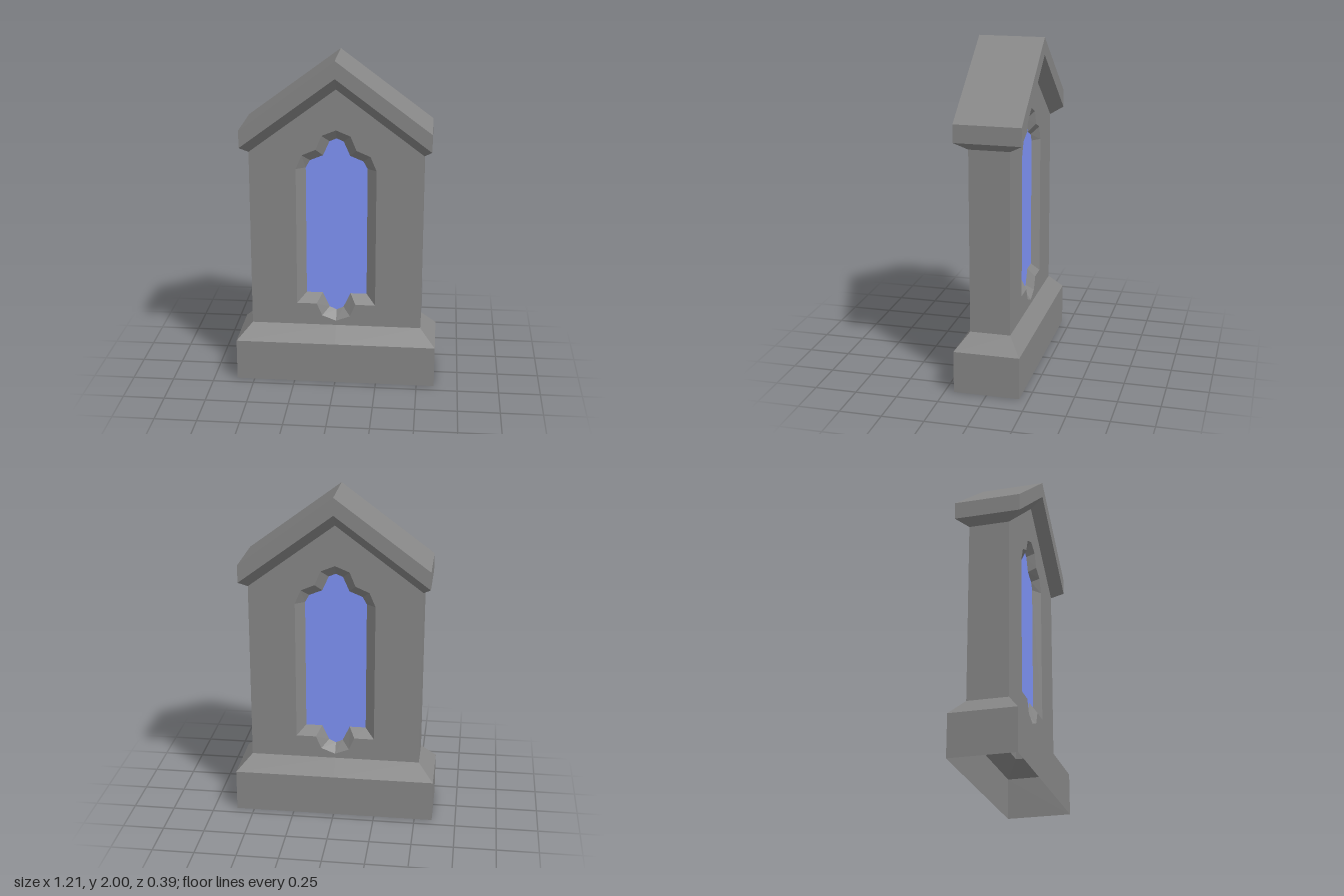
import * as THREE from 'three';

const stone = new THREE.MeshStandardMaterial({ color: 0x878787, flatShading: true, side: THREE.DoubleSide });
const glass = new THREE.MeshStandardMaterial({ color: 0x7f93f6, side: THREE.DoubleSide });

// Mesh from a list of quads, each four corners in counter-clockwise order
function quads(name, list) {
  const pos = list.flatMap(([a, b, c, d]) => [a, b, c, a, c, d].flat());
  const geo = new THREE.BufferGeometry();
  geo.setAttribute('position', new THREE.Float32BufferAttribute(pos, 3));
  geo.computeVertexNormals();
  return part(name, geo, stone);
}

function part(name, geo, material) {
  const mesh = new THREE.Mesh(geo, material);
  mesh.name = name;
  return mesh;
}

// Quads joining two closed loops of equal length
const band = (a, b) => a.map((p, i) => {
  const j = (i + 1) % a.length;
  return [p, a[j], b[j], b[i]];
});

// Plan outline with half width w, half depth d, edge height y and centre height peak
const ring = (w, d, y, peak = y) => [
  [-w, y, d], [0, peak, d], [w, y, d], [w, y, -d], [0, peak, -d], [-w, y, -d],
];

// Right half of an outline, bottom to top, mirrored into a full loop
const mirrored = (half) => [...half, ...half.slice(1, -1).reverse().map(([x, y]) => [-x, y])];
const toShape = (pts) => new THREE.Shape(pts.map(([x, y]) => new THREE.Vector2(x, y)));

const W = 0.515, D = 0.12, GLASS_Z = 0.077;

const opening = mirrored([
  [0, 0.378], [0.085, 0.411], [0.118, 0.488], [0.238, 0.488], [0.238, 1.34],
  [0.202, 1.425], [0.12, 1.46], [0.085, 1.545], [0, 1.58],
]);
const pane = mirrored([
  [0, 0.435], [0.042, 0.455], [0.085, 0.546], [0.183, 0.546], [0.183, 1.34],
  [0.158, 1.385], [0.08, 1.417], [0.042, 1.503], [0, 1.521],
]);

// One face of the wall with its bevelled window
function windowFace(name) {
  const face = new THREE.Group();
  face.name = name;
  const wall = toShape([[-W, 0.35], [W, 0.35], [W, 1.438], [0, 1.821], [-W, 1.438]]);
  wall.holes.push(toShape(opening));
  const wallMesh = part('wallFace', new THREE.ShapeGeometry(wall), stone);
  wallMesh.position.z = D;
  const reveal = quads('windowReveal', band(
    opening.map(([x, y]) => [x, y, D]),
    pane.map(([x, y]) => [x, y, GLASS_Z]),
  ));
  const paneMesh = part('windowPane', new THREE.ShapeGeometry(toShape(pane)), glass);
  paneMesh.position.z = GLASS_Z;
  face.add(wallMesh, reveal, paneMesh);
  return face;
}

export function createModel() {
  const model = new THREE.Group();
  model.name = 'windowMonument';

  // Base: plinth with sloped top, open underneath
  const foot = ring(0.607, 0.196, 0), shoulder = ring(0.607, 0.196, 0.253), neck = ring(W, D, 0.35);
  model.add(quads('base', [...band(foot, shoulder), ...band(shoulder, neck)]));

  // Wall faces, front and back
  const front = windowFace('frontFace');
  const back = windowFace('backFace');
  back.rotation.y = Math.PI;
  model.add(front, back);

  // Wall sides
  for (const s of [1, -1]) {
    model.add(quads(s > 0 ? 'leftSide' : 'rightSide', [[
      [s * W, 0.35, s * D], [s * W, 0.35, -s * D], [s * W, 1.438, -s * D], [s * W, 1.438, s * D],
    ]]));
  }

  // Gabled roof: bevel under the eaves, fascia, two slopes
  const wallTop = ring(W, D, 1.438, 1.821);
  const eave = ring(0.559, 0.196, 1.481, 1.897);
  const top = ring(0.559, 0.196, 1.586, 2);
  model.add(quads('roof', [
    ...band(wallTop, eave),
    ...band(eave, top),
    [top[0], top[1], top[4], top[5]],
    [top[1], top[2], top[3], top[4]],
  ]));

  return model;
}
